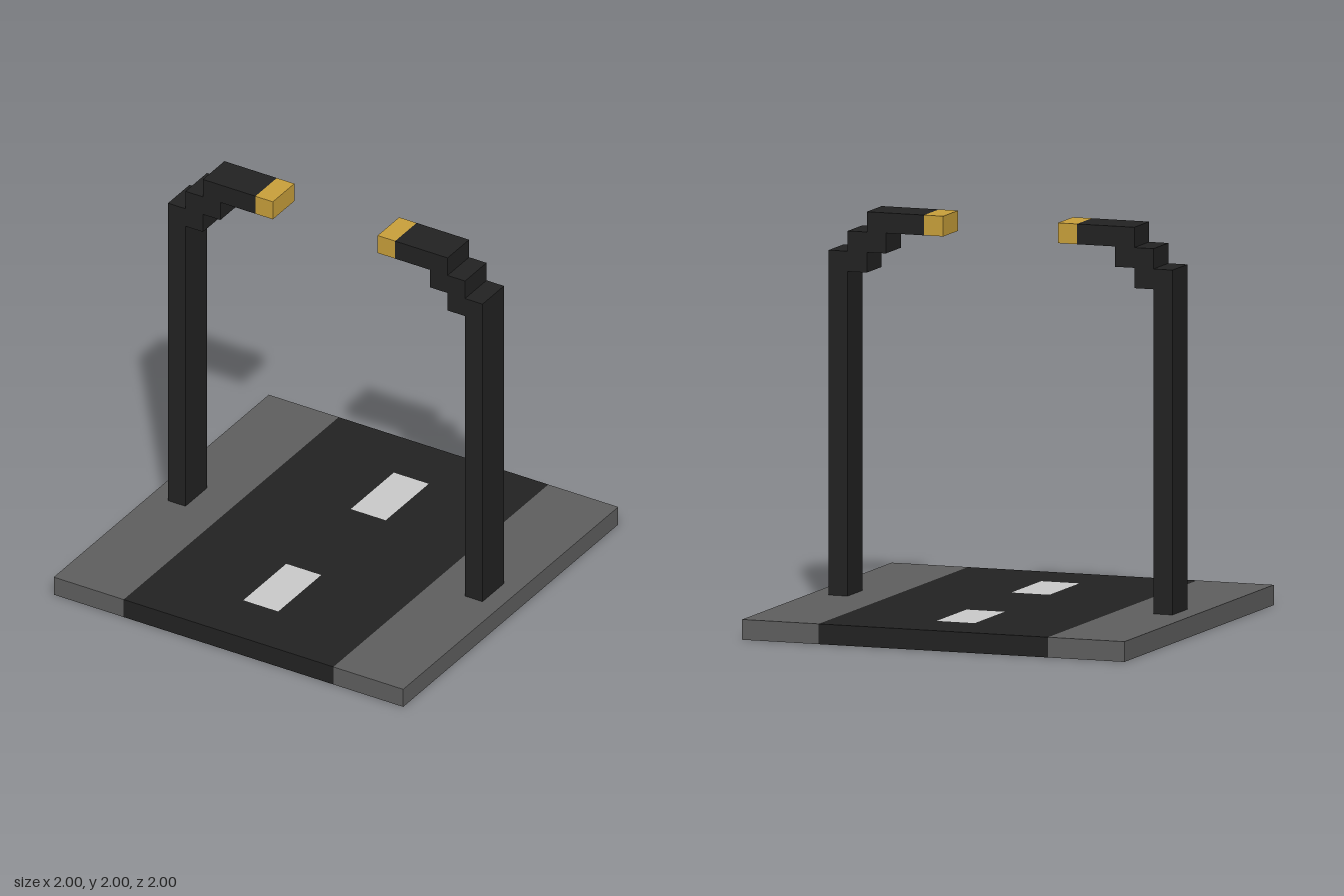
import * as THREE from 'three';

const makeMaterial = (name, color) => {
  const m = new THREE.MeshStandardMaterial({ color });
  m.name = name;
  return m;
};

export function createModel() {
  const model = new THREE.Group();
  model.name = 'streetSection';

  const black = makeMaterial('asphaltBlack', 0x222222);
  const grey = makeMaterial('pavementGrey', 0x5f5f5f);
  const white = makeMaterial('markingWhite', 0xcacaca);
  const gold = makeMaterial('lampGold', 0xc9a03b);

  const addMesh = (parent, name, geometry, material, x = 0, y = 0, z = 0) => {
    const mesh = new THREE.Mesh(geometry, material);
    mesh.name = name;
    mesh.position.set(x, y, z);
    parent.add(mesh);
  };

  // Road slab with openings that the lane markings fill right through
  const rect = (Type, x, y, w, h) => new Type([
    new THREE.Vector2(x - w / 2, y - h / 2),
    new THREE.Vector2(x + w / 2, y - h / 2),
    new THREE.Vector2(x + w / 2, y + h / 2),
    new THREE.Vector2(x - w / 2, y + h / 2),
  ]);
  const roadShape = rect(THREE.Shape, 0, 0, 1.2, 2);
  for (const z of [-0.5, 0.5]) {
    roadShape.holes.push(rect(THREE.Path, 0, z, 0.2, 0.4));
    addMesh(model, 'laneMarking', new THREE.BoxGeometry(0.2, 0.1, 0.4), white, 0, 0.05, z);
  }
  const roadGeometry = new THREE.ExtrudeGeometry(roadShape, { depth: 0.1, bevelEnabled: false });
  roadGeometry.rotateX(-Math.PI / 2);
  addMesh(model, 'road', roadGeometry, black);

  // Stepped outline of a lamp post and its arm, on the +x side
  const outline = [
    [0.9, 0.1], [0.9, 1.8], [0.8, 1.8], [0.8, 1.9], [0.7, 1.9], [0.7, 2], [0.4, 2],
    [0.4, 1.9], [0.6, 1.9], [0.6, 1.8], [0.7, 1.8], [0.7, 1.7], [0.8, 1.7], [0.8, 0.1],
  ];

  // Pavement and street lamp on each side
  for (const [side, s] of [['left', 1], ['right', -1]]) {
    addMesh(model, side + 'Pavement', new THREE.BoxGeometry(0.4, 0.1, 2), grey, s * 0.8, 0.05, 0);

    const lamp = new THREE.Group();
    lamp.name = side + 'StreetLamp';
    const shape = new THREE.Shape(outline.map(([x, y]) => new THREE.Vector2(s * x, y)));
    const post = new THREE.ExtrudeGeometry(shape, { depth: 0.2, bevelEnabled: false });
    addMesh(lamp, 'lampPost', post, black, 0, 0, -0.1);
    addMesh(lamp, 'lampHead', new THREE.BoxGeometry(0.1, 0.1, 0.2), gold, s * 0.35, 1.95, 0);
    model.add(lamp);
  }

  return model;
}
